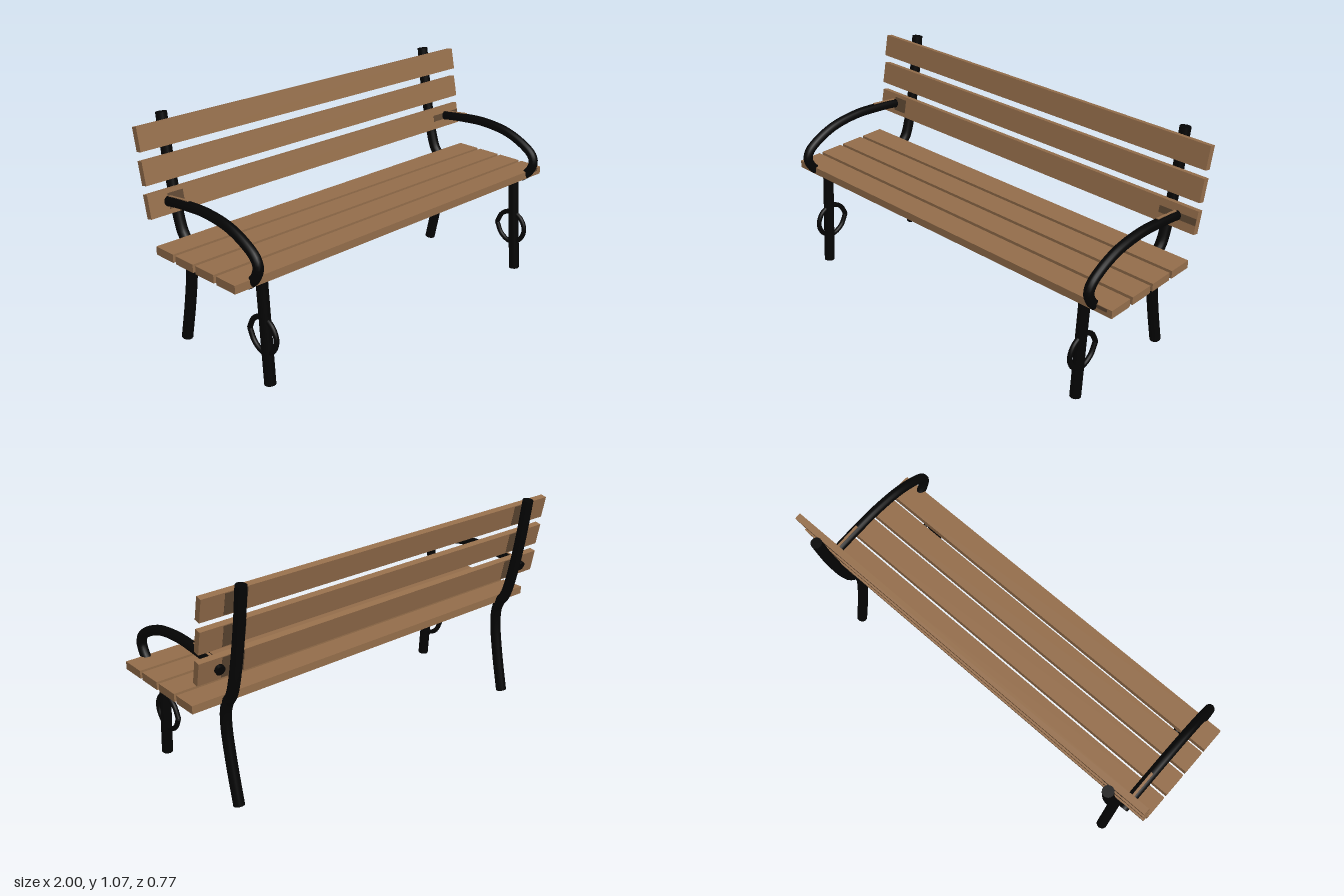
import * as THREE from 'three';

const wood = new THREE.MeshStandardMaterial({ color: 0x966f4c });
wood.name = 'brown wood';
const iron = new THREE.MeshStandardMaterial({ color: 0x040404 });
iron.name = 'black iron';
const stain = new THREE.MeshStandardMaterial({ color: 0x5f4833 });
stain.name = 'dark stained wood';

// Capped round bar through [z, y] points in the plane at x
function bar(name, x, points, radius, segments = 32) {
  const group = new THREE.Group();
  group.name = name;
  const curve = new THREE.CatmullRomCurve3(points.map(([z, y]) => new THREE.Vector3(x, y, z)));
  group.add(new THREE.Mesh(new THREE.TubeGeometry(curve, segments, radius, 16), iron));
  for (const t of [0, 1]) {
    const cap = new THREE.Mesh(new THREE.CircleGeometry(radius, 16), iron);
    const out = curve.getTangent(t).multiplyScalar(t ? 1 : -1);
    cap.quaternion.setFromUnitVectors(new THREE.Vector3(0, 0, 1), out);
    cap.position.copy(curve.getPoint(t));
    group.add(cap);
  }
  group.children.forEach((m, i) => { m.name = name + (i ? 'Cap' : 'Tube'); });
  return group;
}

function box(name, material, [w, h, d], [x, y, z], tilt = 0) {
  const mesh = new THREE.Mesh(new THREE.BoxGeometry(w, h, d), material);
  mesh.name = name;
  mesh.position.set(x, y, z);
  mesh.rotation.x = tilt;
  return mesh;
}

export function createModel() {
  const bench = new THREE.Group();
  bench.name = 'parkBench';

  // Seat planks
  for (const z of [0.266, 0.127, -0.012, -0.151]) {
    bench.add(box('seatSlat', wood, [2, 0.038, 0.121], [0, 0.508, z]));
  }

  // Backrest planks, stained where the posts touch them
  const backSlats = [[0.694, -0.258], [0.84, -0.28], [0.986, -0.302]].map(([y, z]) => {
    const slat = box('backSlat', wood, [2, 0.108, 0.031], [0, y, z], -0.2);
    for (const x of [-0.832, 0.832]) {
      slat.add(box('postStain', stain, [0.11, 0.1, 0.002], [x, 0, -0.0155]));
    }
    bench.add(slat);
    return slat;
  });

  // Stains around the armrest ends
  backSlats[0].add(
    box('leftArmStain', stain, [0.19, 0.032, 0.002], [0.904, 0.002, 0.0155]),
    box('rightArmStain', stain, [0.08, 0.07, 0.002], [-0.86, 0.002, 0.0155]),
  );
  bench.add(box('seatStain', stain, [0.07, 0.016, 0.002], [0.94, 0.517, 0.3265]));

  for (const [side, s] of [['left', 1], ['right', -1]]) {
    // Rear leg running up into the back support
    bench.add(bar(side + 'BackPost', s * 0.832, [
      [-0.268, 0.006], [-0.226, 0.2], [-0.201, 0.36], [-0.202, 0.44], [-0.22, 0.492],
      [-0.251, 0.535], [-0.274, 0.6], [-0.298, 0.7], [-0.33, 0.87], [-0.357, 1.062],
    ], 0.026, 56));
    bench.add(bar(side + 'FrontLeg', s * 0.832, [[0.321, 0.008], [0.288, 0.484]], 0.026, 1));

    // Armrest curving from the backrest down to the front plank, with a worn strip on top
    bench.add(bar(side + 'Armrest', s * 0.9, [
      [-0.287, 0.685], [-0.24, 0.7], [-0.1, 0.716], [0.03, 0.721], [0.18, 0.701],
      [0.29, 0.655], [0.34, 0.617], [0.354, 0.58], [0.337, 0.535], [0.31, 0.505], [0.284, 0.487],
    ], 0.023, 56));
    bench.add(box(side + 'ArmWear', wood, [0.012, 0.004, 0.14], [s * 0.9, 0.733, -0.165], -0.114));

    // Ornamental ring with its pointed side to the rear
    bench.add(bar(side + 'LegRing', s * 0.832, [
      [0.197, 0.232], [0.228, 0.287], [0.284, 0.312], [0.346, 0.288], [0.371, 0.232],
      [0.346, 0.173], [0.284, 0.146], [0.228, 0.175], [0.197, 0.232],
    ], 0.012, 40));
  }
  return bench;
}
